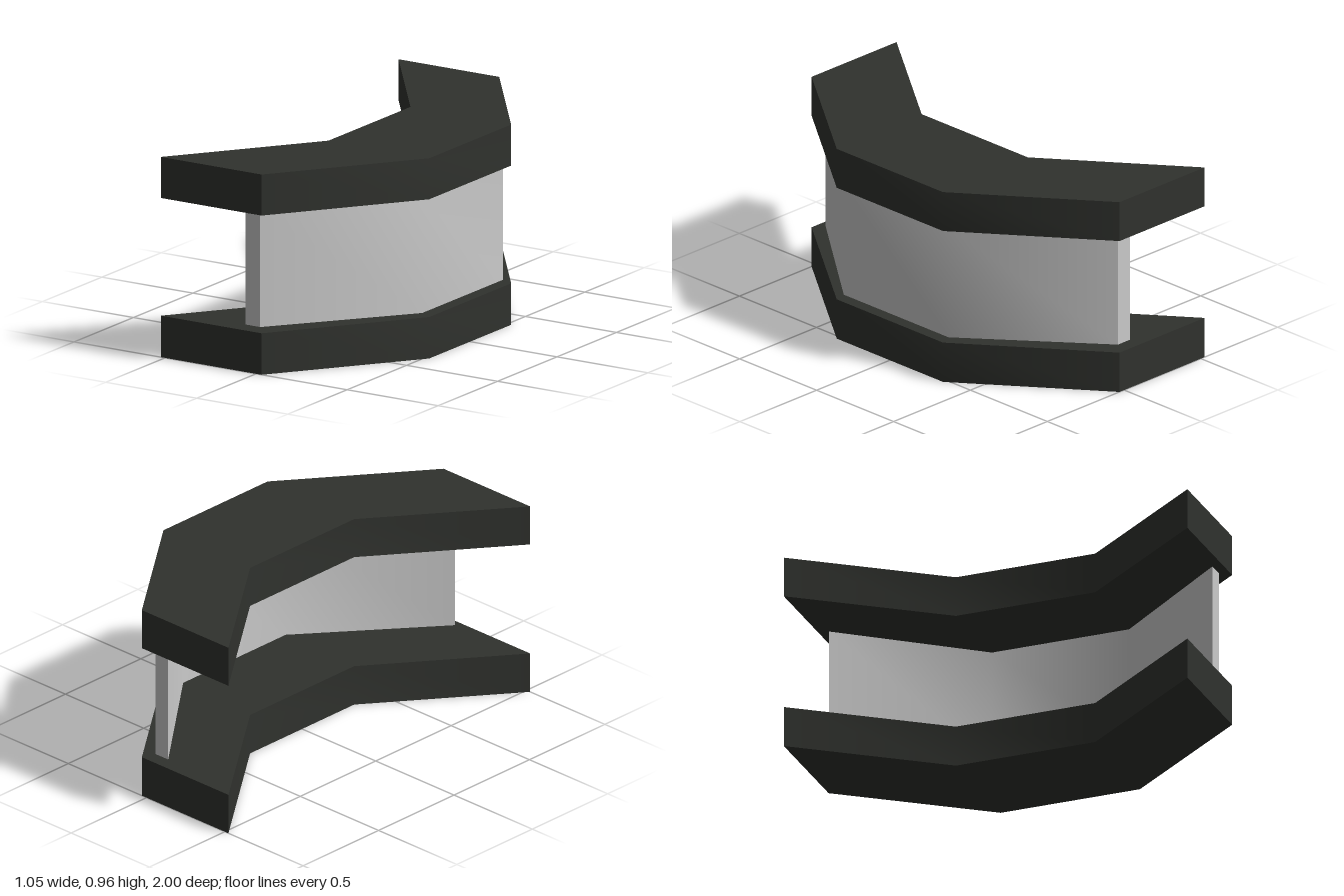
import * as THREE from 'three';
import { toCreasedNormals } from 'three/addons/utils/BufferGeometryUtils.js';

// Prism over a three-segment bent band: outer edge runs from (endX, endZ)
// to (bendX, bendZ), mirrored in z; the inner edge is offset by width in x.
function bentBand(name, { endX, bendX, endZ, bendZ, width, bottom, top }, material) {
  const outer = [[endX, endZ], [bendX, bendZ], [bendX, -bendZ], [endX, -endZ]];
  const inner = outer.map(([x, z]) => [x - width, z]).reverse();
  const shape = new THREE.Shape([...outer, ...inner].map(([x, z]) => new THREE.Vector2(x, -z)));
  const geometry = new THREE.ExtrudeGeometry(shape, { depth: top - bottom, bevelEnabled: false });
  geometry.rotateX(-Math.PI / 2).translate(0, bottom, 0);
  // smooth across the bends, sharp at the ends and rims
  const mesh = new THREE.Mesh(toCreasedNormals(geometry, THREE.MathUtils.degToRad(45)), material);
  mesh.name = name;
  return mesh;
}

export function createModel() {
  const group = new THREE.Group();
  group.name = 'bentCounter';
  const dark = new THREE.MeshStandardMaterial({ color: 0x30322e });
  const grey = new THREE.MeshStandardMaterial({ color: 0xcccccc });

  // Matching base and top slabs
  const slab = { endX: 0.03, bendX: 0.523, endZ: 1, bendZ: 0.345, width: 0.553 };
  group.add(bentBand('baseSlab', { ...slab, bottom: 0, top: 0.198 }, dark));
  group.add(bentBand('topSlab', { ...slab, bottom: 0.76, top: 0.956 }, dark));

  // Thin wall set just inside the outer edge
  const wall = { endX: -0.01, bendX: 0.482, endZ: 0.95, bendZ: 0.34, width: 0.08 };
  group.add(bentBand('wall', { ...wall, bottom: 0.21, top: 0.76 }, grey));
  return group;
}
